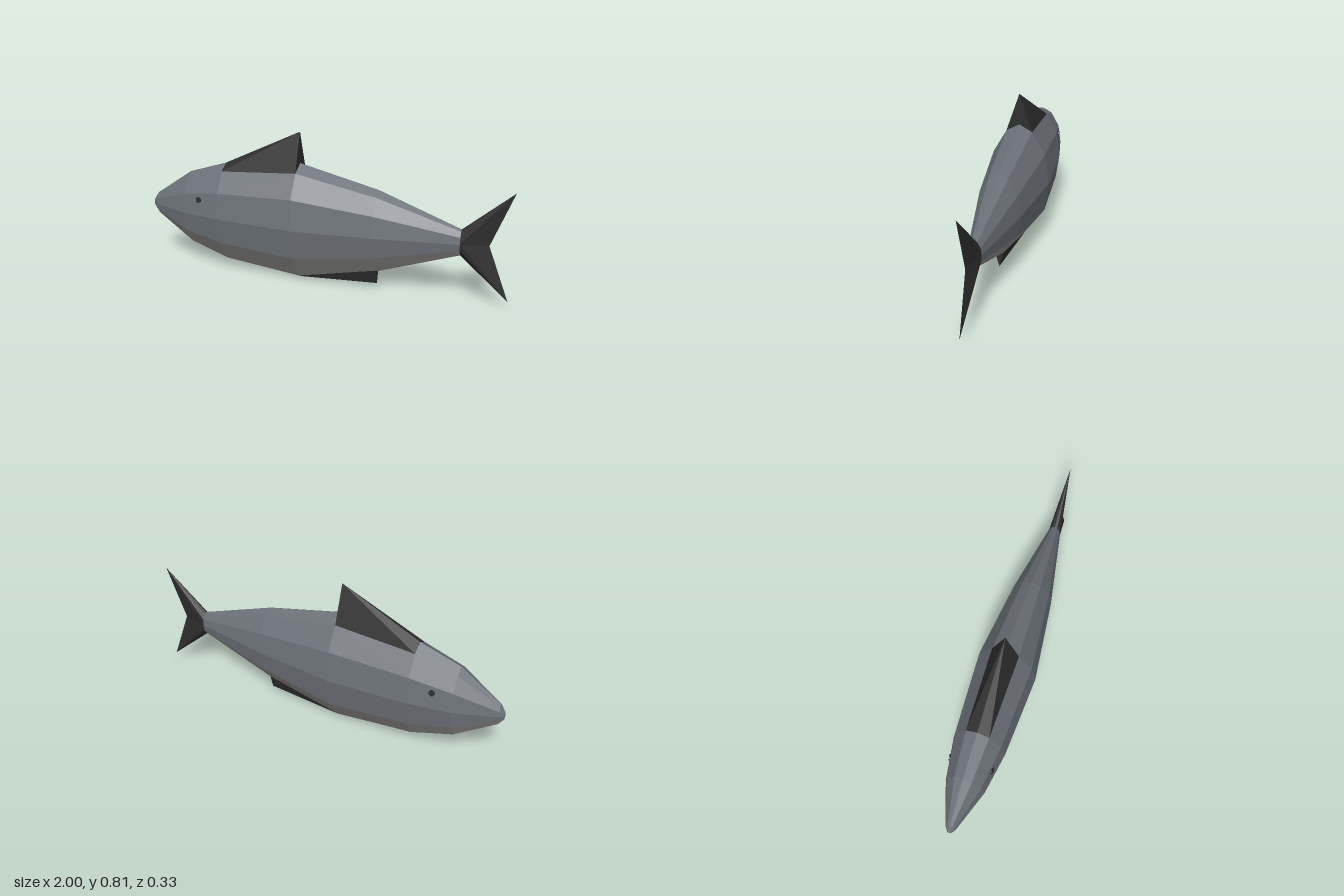
import * as THREE from 'three';

const material = (name, color) => {
  const m = new THREE.MeshStandardMaterial({ color, flatShading: true, side: THREE.DoubleSide });
  m.name = name;
  return m;
};

const CENTRE_Y = 0.323;
// Half cross-section from back to belly, as fractions of [half width, half height]
const SECTION = [[0, 1], [0.43, 0.88], [0.86, 0.5], [1, 0], [0.86, -0.5], [0.21, -0.945], [0, -1]];
// Body rings from nose to tail root: [x, half height, half width]
const RINGS = [
  [-1, 0.022, 0.01], [-0.975, 0.06, 0.028], [-0.76, 0.208, 0.104], [-0.54, 0.28, 0.14],
  [-0.11, 0.322, 0.163], [0.32, 0.224, 0.113], [0.75, 0.07, 0.034],
];

const ringPoint = (i, j) => {
  const [x, h, w] = RINGS[i];
  return [x, CENTRE_Y + SECTION[j][1] * h, SECTION[j][0] * w];
};

// Mesh from triangles on the +z side, mirrored onto the -z side
function mirroredMesh(name, triangles, mat) {
  const flip = ([x, y, z]) => [x, y, -z];
  const all = triangles.flatMap(([a, b, c]) => [a, b, c, flip(a), flip(c), flip(b)]);
  const geometry = new THREE.BufferGeometry();
  geometry.setAttribute('position', new THREE.Float32BufferAttribute(all.flat(), 3));
  geometry.computeVertexNormals();
  const mesh = new THREE.Mesh(geometry, mat);
  mesh.name = name;
  return mesh;
}

// Strip of the body between two section points, closed at the nose
function hull(from, to) {
  const tris = [];
  for (let j = from; j < to; j++) {
    for (let i = 0; i < RINGS.length - 1; i++) {
      const a = ringPoint(i, j), b = ringPoint(i, j + 1);
      const c = ringPoint(i + 1, j), d = ringPoint(i + 1, j + 1);
      tris.push([a, b, c], [b, d, c]);
    }
    tris.push([[-1, CENTRE_Y, 0], ringPoint(0, j + 1), ringPoint(0, j)]);
  }
  return tris;
}

export function createModel() {
  const slate = material('slate back', 0x6c7179);
  const pale = material('pale belly', 0x9a9996);
  const dark = material('dark fin', 0x2e2e2e);
  const fish = new THREE.Group();
  fish.name = 'fish';

  fish.add(mirroredMesh('upperBody', hull(0, 4), slate));
  fish.add(mirroredMesh('belly', hull(4, 6), pale));

  // Dorsal fin: a wedge rising from the back
  const backFront = ringPoint(3, 1), ridge = ringPoint(3, 0);
  const backRear = ringPoint(4, 1), backTop = ringPoint(4, 0), peak = [-0.11, 0.812, 0];
  fish.add(mirroredMesh('dorsalFin', [
    [backFront, backRear, peak], [backFront, peak, ridge], [backRear, backTop, peak],
  ], dark));

  // Anal fin: a wedge dropping from the rear of the belly
  const keelSide = ringPoint(4, 5), keel = ringPoint(4, 6);
  const rearSide = ringPoint(5, 5), rearKeel = ringPoint(5, 6), drop = [0.32, 0.03, 0];
  fish.add(mirroredMesh('analFin', [
    [keelSide, keel, drop], [keelSide, drop, rearSide], [rearSide, drop, rearKeel],
  ], dark));

  // Forked tail fin: the last ring drawn out to two tips
  const upper = [1, 0.61, 0], lower = [1, 0.036, 0], notch = [0.89, CENTRE_Y, 0];
  const tail = [];
  for (let j = 0; j < 6; j++) {
    tail.push([ringPoint(6, j), ringPoint(6, j + 1), j < 3 ? upper : lower]);
  }
  const side = ringPoint(6, 3);
  tail.push([side, notch, upper], [side, lower, notch]);
  fish.add(mirroredMesh('tailFin', tail, dark));

  // Eyes: thin discs lying on the flanks
  for (const s of [1, -1]) {
    const eye = new THREE.Mesh(new THREE.CylinderGeometry(0.016, 0.016, 0.008, 8), dark);
    eye.name = s > 0 ? 'leftEye' : 'rightEye';
    eye.position.set(-0.66, 0.41, s * 0.111);
    const normal = new THREE.Vector3(-0.165, 0.13, s).normalize();
    eye.quaternion.setFromUnitVectors(new THREE.Vector3(0, 1, 0), normal);
    fish.add(eye);
  }
  return fish;
}
